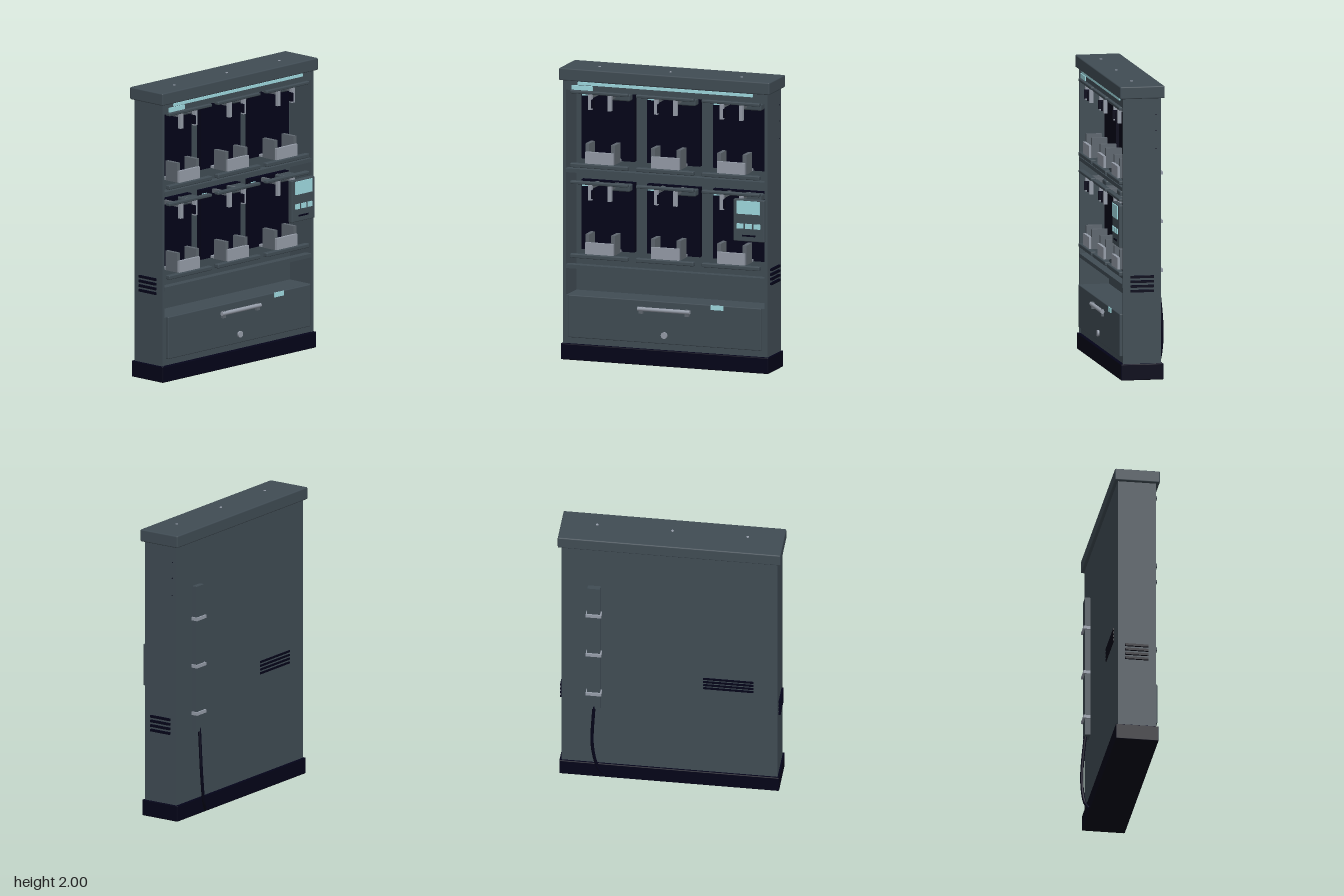
import * as THREE from 'three';
import { RoundedBoxGeometry } from 'three/addons/geometries/RoundedBoxGeometry.js';

const paint = (name, color) => {
  const m = new THREE.MeshStandardMaterial({ color });
  m.name = name;
  return m;
};

export function createModel() {
  const root = new THREE.Group();
  root.name = 'storageCabinet';
  const shell = paint('slate grey', 0x404c54);
  const mid = paint('mid grey', 0x5e666e);
  const dark = paint('dark navy', 0x030318);
  const metal = paint('light metal', 0x959ca8);
  const glow = paint('pale teal', 0x9fdae0);

  const add = (name, geo, mat, x = 0, y = 0, z = 0, parent = root) => {
    const m = new THREE.Mesh(geo, mat);
    m.name = name;
    m.position.set(x, y, z);
    parent.add(m);
    return m;
  };
  // box given by its limits on each axis; r rounds its edges
  const box = (name, mat, x0, x1, y0, y1, z0, z1, parent = root, r = 0) => {
    const s = [x1 - x0, y1 - y0, z1 - z0];
    const g = r ? new RoundedBoxGeometry(...s, 2, r) : new THREE.BoxGeometry(...s);
    return add(name, g, mat, (x0 + x1) / 2, (y0 + y1) / 2, (z0 + z1) / 2, parent);
  };

  // carcass, open towards +x
  box('plinth', dark, -0.135, 0.156, 0, 0.11, -0.745, 0.745, root, 0.006);
  box('topCap', shell, -0.142, 0.164, 1.912, 1.996, -0.755, 0.755, root, 0.008);
  box('backWall', shell, -0.12, -0.06, 0.11, 1.915, -0.733, 0.733);
  for (const s of [-1, 1]) {
    const a = s * 0.733, b = s * 0.713;
    box('sideWall', shell, -0.12, 0.141, 0.11, 1.915, Math.min(a, b), Math.max(a, b));
  }
  box('header', shell, -0.06, 0.136, 1.845, 1.915, -0.713, 0.713);
  box('lowerBody', shell, -0.06, 0.134, 0.11, 0.44, -0.713, 0.713);
  for (const z of [-0.51, 0, 0.51]) {
    add('capBolt', new THREE.CylinderGeometry(0.009, 0.009, 0.008, 16), metal, 0.037, 1.996, z);
  }

  // header light and label
  box('lightStrip', glow, 0.134, 0.146, 1.886, 1.906, -0.626, 0.626);
  box('headerLabel', glow, 0.136, 0.145, 1.85, 1.881, 0.52, 0.67);

  // full-width front rails
  for (const y of [1.282, 0.625]) {
    box('shelfRail', shell, 0.09, 0.144, y, y + 0.026, -0.713, 0.713);
  }

  // six storage bays, modelled around z = 0 at the height of the upper row
  const addBay = (y, z) => {
    const bay = new THREE.Group();
    bay.name = 'bay';
    bay.position.set(0, y, z);
    root.add(bay);
    box('bayPanel', dark, -0.06, -0.02, 1.35, 1.826, -0.19, 0.19, bay);
    box('bayTopLip', shell, 0.119, 0.157, 1.826, 1.847, -0.207, 0.207, bay, 0.006);
    box('bayBottomLip', shell, 0.119, 0.157, 1.32, 1.348, -0.207, 0.207, bay, 0.006);
    box('bayLight', glow, -0.02, -0.012, 1.783, 1.805, 0.14, 0.183, bay);
    box('sensorBox', shell, -0.02, 0.05, 1.775, 1.822, -0.182, -0.05, bay, 0.01);
    // cradle: floor, front plate and two arms
    box('cradleBase', metal, -0.02, 0.135, 1.35, 1.366, -0.1, 0.1, bay);
    box('cradleFront', metal, 0.126, 0.146, 1.35, 1.43, -0.1, 0.1, bay);
    for (const s of [-1, 1]) {
      box('cradleArm', mid, 0.02, 0.129, 1.35, 1.484, s * 0.092 - 0.014, s * 0.092 + 0.014, bay);
      // clip: arm reaching forward, hanging finger and pad
      box('clipArm', mid, -0.02, 0.114, 1.795, 1.822, s * 0.07 - 0.012, s * 0.07 + 0.012, bay);
      box('clipFinger', metal, 0.114, 0.139, 1.718, 1.822, s * 0.069 - 0.013, s * 0.069 + 0.013, bay);
      box('clipPad', dark, 0.116, 0.15, 1.73, 1.79, s * 0.051 - 0.005, s * 0.051 + 0.005, bay);
    }
  };
  for (const y of [0, -0.62]) for (const z of [-0.472, 0, 0.472]) addBay(y, z);

  // control console
  const consoleGroup = new THREE.Group();
  consoleGroup.name = 'console';
  root.add(consoleGroup);
  box('consoleBody', shell, 0.13, 0.166, 0.9, 1.187, -0.72, -0.498, consoleGroup, 0.006);
  box('consoleScreen', glow, 0.166, 0.174, 1.088, 1.178, -0.69, -0.525, consoleGroup);
  for (const z of [-0.547, -0.608, -0.669]) {
    box('consoleButton', glow, 0.166, 0.174, 0.988, 1.022, z - 0.022, z + 0.022, consoleGroup);
  }
  box('consoleSlot', dark, 0.166, 0.17, 0.934, 0.945, -0.655, -0.563, consoleGroup);

  // drawer with handle, lock and label
  const drawer = new THREE.Group();
  drawer.name = 'drawer';
  root.add(drawer);
  box('drawerFront', shell, 0.13, 0.156, 0.155, 0.445, -0.69, 0.69, drawer, 0.006);
  add('drawerHandle', new THREE.CylinderGeometry(0.014, 0.014, 0.374, 16), metal, 0.17, 0.387, 0, drawer).rotation.x = Math.PI / 2;
  for (const z of [-0.165, 0.165]) box('handlePost', mid, 0.15, 0.174, 0.355, 0.402, z - 0.013, z + 0.013, drawer);
  add('drawerLock', new THREE.CylinderGeometry(0.022, 0.022, 0.016, 20), metal, 0.161, 0.215, 0, drawer).rotation.z = -Math.PI / 2;
  box('drawerLabel', glow, 0.156, 0.163, 0.413, 0.445, -0.424, -0.334, drawer);

  // vents on both ends and the back
  for (let i = 0; i < 4; i++) {
    const y = 0.605 + i * 0.032;
    for (const s of [-1, 1]) box('sideVent', dark, -0.07, 0.088, y - 0.008, y + 0.008, s * 0.74 - 0.007, s * 0.74 + 0.007);
    const yb = 0.812 + i * 0.026;
    box('backVent', dark, -0.126, -0.118, yb - 0.007, yb + 0.007, 0.23, 0.57);
  }
  // small fixings on the -z end
  for (const y of [1.8, 1.69, 1.57]) {
    add('endScrew', new THREE.CylinderGeometry(0.004, 0.004, 0.002, 10), dark, -0.085, y, -0.733).rotation.x = Math.PI / 2;
  }

  // cable duct, straps and loose cable on the back
  box('cableDuct', shell, -0.157, -0.12, 0.585, 1.6, -0.552, -0.466);
  for (const y of [0.715, 1.045, 1.375]) box('ductStrap', metal, -0.168, -0.12, y - 0.011, y + 0.011, -0.562, -0.456);
  const path = new THREE.CatmullRomCurve3([
    [-0.145, 0.62, -0.505], [-0.153, 0.55, -0.51], [-0.172, 0.28, -0.515], [-0.16, 0.09, -0.475], [-0.138, 0.018, -0.425],
  ].map(p => new THREE.Vector3(...p)));
  add('powerCable', new THREE.TubeGeometry(path, 24, 0.011, 10), dark);

  return root;
}
